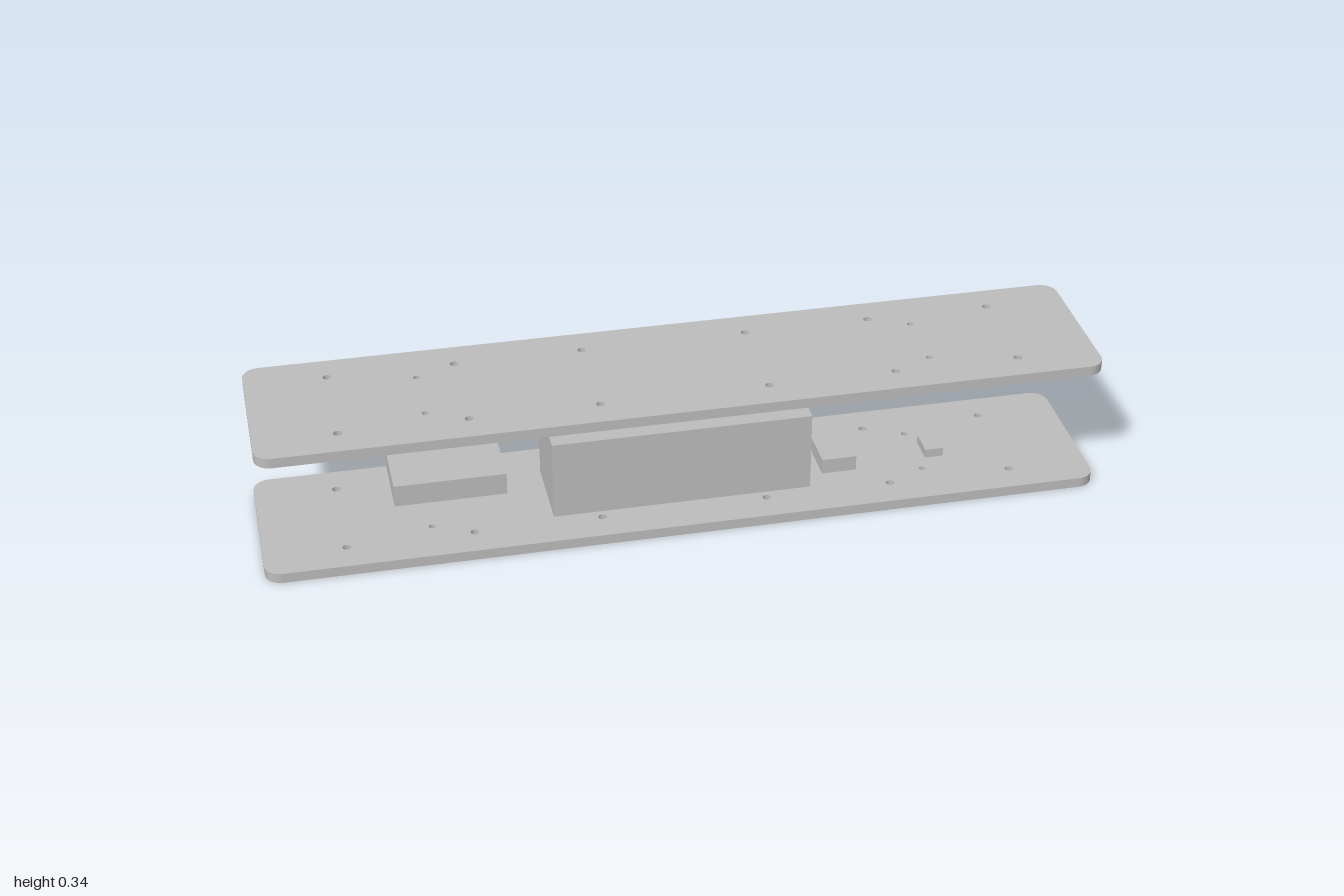
import * as THREE from 'three';

export function createModel() {
  const model = new THREE.Group();
  const grey = new THREE.MeshStandardMaterial({ color: 0xbcbcbc });
  grey.name = 'plain grey';

  const add = (name, geometry, x, y, z) => {
    const mesh = new THREE.Mesh(geometry, grey);
    mesh.name = name;
    mesh.position.set(x, y, z);
    model.add(mesh);
  };

  // Deck outline: a long rectangle with rounded corners
  const w = 1, d = 0.2, r = 0.04, thickness = 0.025;
  const outline = new THREE.Shape();
  outline.absarc(w - r, d - r, r, 0, Math.PI / 2);
  outline.absarc(-w + r, d - r, r, Math.PI / 2, Math.PI);
  outline.absarc(-w + r, -d + r, r, Math.PI, Math.PI * 1.5);
  outline.absarc(w - r, -d + r, r, Math.PI * 1.5, Math.PI * 2);
  outline.closePath();

  // Mirrored screw holes: [x, z, radius]
  const holes = [[0.805, 0.124, 0.01], [0.505, 0.124, 0.01], [0.2, 0.124, 0.01], [0.6, 0.08, 0.008]];
  for (const [x, z, radius] of holes) {
    for (const sx of [-1, 1]) {
      for (const sz of [-1, 1]) {
        const hole = new THREE.Path();
        hole.absarc(sx * x, sz * z, radius, 0, Math.PI * 2, true);
        outline.holes.push(hole);
      }
    }
  }

  // Lower and upper decks
  const deck = new THREE.ExtrudeGeometry(outline, { depth: thickness, bevelEnabled: false, curveSegments: 12 });
  deck.rotateX(-Math.PI / 2);
  add('lowerDeck', deck, 0, 0, 0);
  add('upperDeck', deck, 0, 0.315, 0);

  // Components between the decks: name, x from, x to, y from, y to, half depth
  const blocks = [
    ['mainBlock', -0.3125, 0.3125, 0.025, 0.225, 0.1],
    ['raisedBlock', -0.685, -0.42, 0.1, 0.155, 0.09],
    ['smallBlock', 0.355, 0.44, 0.025, 0.0635, 0.051],
    ['tinyBlock', 0.62, 0.665, 0.025, 0.047, 0.035],
  ];
  for (const [name, x0, x1, y0, y1, half] of blocks) {
    add(name, new THREE.BoxGeometry(x1 - x0, y1 - y0, half * 2), (x0 + x1) / 2, (y0 + y1) / 2, 0);
  }
  return model;
}
